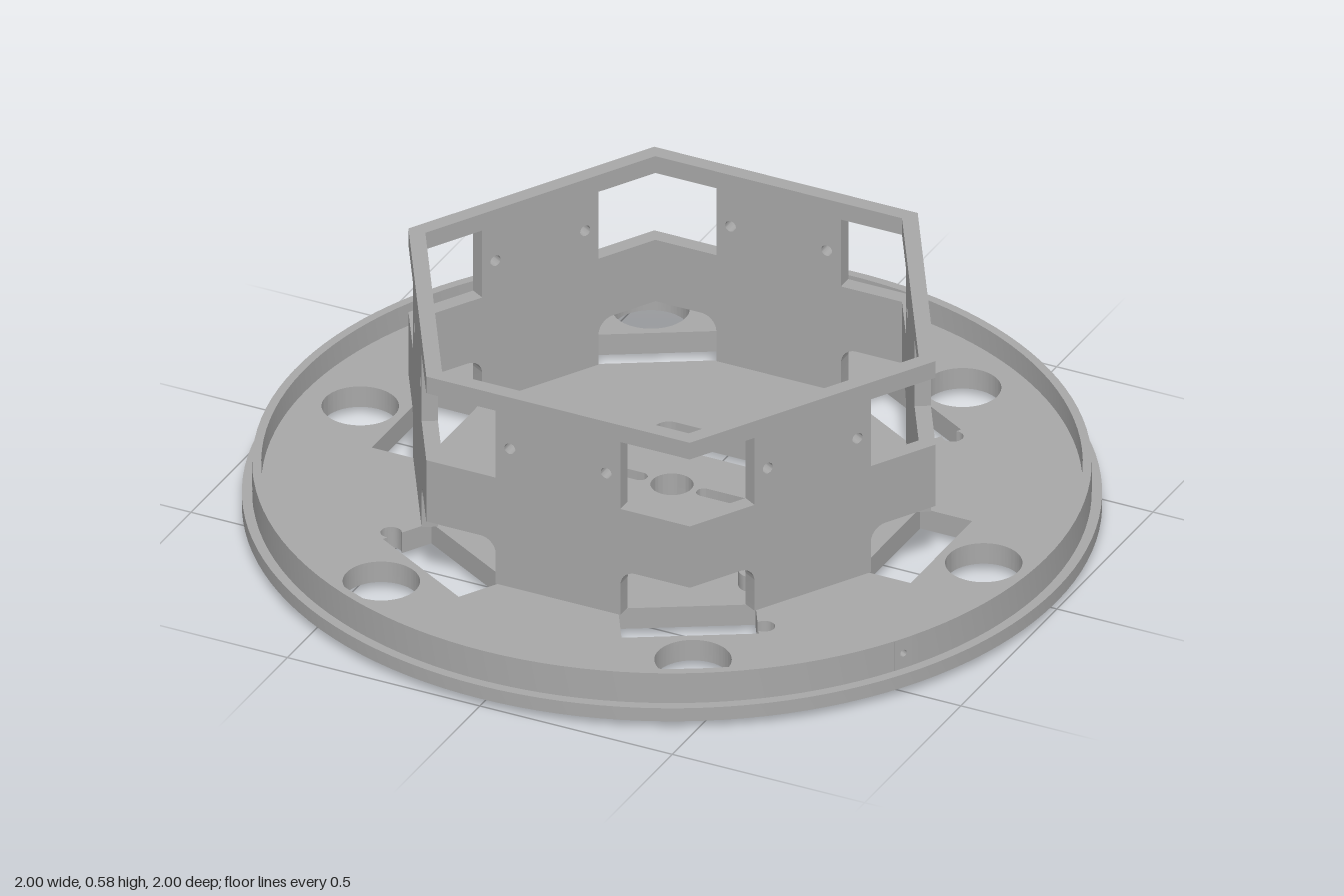
import * as THREE from 'three';
import { toCreasedNormals } from 'three/addons/utils/BufferGeometryUtils.js';

const FLOOR = 0.075, BOTTOM = 0.02, STEP = 0.055, RIM_TOP = 0.135, WALL_TOP = 0.585;
const RIM_IN = 0.955, RIM_OUT = 0.976;

export function createModel() {
  const model = new THREE.Group();
  model.name = 'roundBaseWithHexFrame';
  const grey = new THREE.MeshStandardMaterial({ color: 0xa8a8a8 });
  grey.name = 'plain grey';

  const add = (name, geometry, parent = model) => {
    const mesh = new THREE.Mesh(toCreasedNormals(geometry, 0.5), grey);
    mesh.name = name;
    parent.add(mesh);
    return mesh;
  };
  const circle = (x, y, r) => new THREE.Path().absarc(x, y, r, 0, Math.PI * 2, false);
  const stadium = (x, y, halfLength, halfWidth, r) => {
    const p = new THREE.Path();
    const a = halfLength - r, b = halfWidth - r;
    p.absarc(x + a, y + b, r, 0, Math.PI / 2, false);
    p.absarc(x - a, y + b, r, Math.PI / 2, Math.PI, false);
    p.absarc(x - a, y - b, r, Math.PI, Math.PI * 1.5, false);
    p.absarc(x + a, y - b, r, Math.PI * 1.5, Math.PI * 2, false);
    p.closePath();
    return p;
  };
  // Ring with a rectangular section
  const ring = (rOut, rIn, y0, y1, segments = 48, start = 0, length = Math.PI * 2) =>
    new THREE.LatheGeometry(
      [[rIn, y0], [rOut, y0], [rOut, y1], [rIn, y1], [rIn, y0]].map(([x, y]) => new THREE.Vector2(x, y)),
      segments, start, length);

  // Floor plate; shape y is -z
  const floor = new THREE.Shape().absarc(0, 0, RIM_IN, 0, Math.PI * 2, false);
  floor.holes.push(circle(0, 0, 0.05), stadium(0, 0.205, 0.155, 0.055, 0.035));
  for (const s of [-1, 1]) floor.holes.push(stadium(s * 0.143, 0, 0.078, 0.018, 0.0179));
  for (let i = 0; i < 6; i++) {
    const a = i * Math.PI / 3, c = Math.cos(a), s = Math.sin(a);
    floor.holes.push(circle(0.81 * c, 0.81 * s, 0.09));
    // Slot under each frame corner; four of them have a round relief at one end
    const side = i % 3 === 1 ? -1 : 1;
    const points = [[0.565, -0.16], [0.7, -0.16], [0.7, 0.16]];
    if (i % 3 !== 0) {
      for (let k = 0; k <= 16; k++) {
        const t = -0.6435 + (Math.PI + 1.287) * k / 16;
        points.push([0.667 + 0.025 * Math.cos(t), 0.175 + 0.025 * Math.sin(t)]);
      }
    }
    points.push([0.565, 0.16]);
    floor.holes.push(new THREE.Path(points.map(([u, v]) =>
      new THREE.Vector2(u * c - v * side * s, u * s + v * side * c))));
  }
  const floorGeo = new THREE.ExtrudeGeometry(floor, { depth: FLOOR - BOTTOM, bevelEnabled: false, curveSegments: 64 });
  floorGeo.rotateX(-Math.PI / 2).translate(0, BOTTOM, 0);
  add('floorPlate', floorGeo);

  // Flange and central boss underneath
  add('flange', ring(1, RIM_IN, BOTTOM, STEP, 128));
  add('bottomBoss', ring(0.23, 0.05, 0, BOTTOM, 64));

  // Rim in three arcs, joined by small plates with a pin hole
  const gap = 0.05;
  for (let i = 0; i < 3; i++) {
    const angle = Math.PI / 3 + i * Math.PI * 2 / 3;
    add('rimArc', ring(RIM_OUT, RIM_IN, STEP, RIM_TOP, 42, angle + gap / 2, Math.PI * 2 / 3 - gap));
    const h = RIM_OUT * Math.sin(gap / 2);
    const plate = new THREE.Shape([[-h, STEP], [h, STEP], [h, RIM_TOP], [-h, RIM_TOP]]
      .map(([x, y]) => new THREE.Vector2(x, y)));
    plate.holes.push(circle(0, 0.095, 0.009));
    const geo = new THREE.ExtrudeGeometry(plate, { depth: RIM_OUT - RIM_IN, bevelEnabled: false });
    geo.translate(0, 0, RIM_IN);
    add('rimPinPlate', geo).rotation.y = angle;
  }

  // Raised collar and four screw studs
  add('collar', ring(0.097, 0.073, FLOOR, 0.163)).position.set(0.367, 0, -0.092);
  for (const x of [-0.377, 0.377]) for (const z of [0.073, 0.33]) {
    add('screwStud', ring(0.036, 0.018, FLOOR, 0.115, 24)).position.set(x, 0, z);
  }

  // Hexagonal frame: six mitred panels with corner windows and leg notches
  const outer = 0.593, inner = 0.555, half = outer * Math.tan(Math.PI / 6);
  const w = 0.162, f = 0.04, low = 0.195, sill = 0.36, head = 0.54;
  const panel = new THREE.Shape();
  panel.moveTo(-w, FLOOR);
  panel.lineTo(w, FLOOR);
  panel.lineTo(w, low - f);
  panel.absarc(w + f, low - f, f, Math.PI, Math.PI / 2, true);
  for (const [x, y] of [[half, low], [half, sill], [w, sill], [w, head], [half, head], [half, WALL_TOP],
    [-half, WALL_TOP], [-half, head], [-w, head], [-w, sill], [-half, sill], [-half, low]]) panel.lineTo(x, y);
  panel.lineTo(-w - f, low);
  panel.absarc(-w - f, low - f, f, Math.PI / 2, 0, true);
  panel.closePath();
  for (const s of [-1, 1]) panel.holes.push(circle(s * 0.125, 0.447, 0.014));
  const panelGeo = new THREE.ExtrudeGeometry(panel, { depth: outer - inner, bevelEnabled: false, curveSegments: 12 });
  panelGeo.translate(0, 0, inner);
  const pos = panelGeo.attributes.position;
  for (let i = 0; i < pos.count; i++) {
    // Mitre the ends so neighbouring panels meet
    if (Math.abs(pos.getX(i)) > half - 0.01) pos.setX(i, Math.sign(pos.getX(i)) * pos.getZ(i) * Math.tan(Math.PI / 6));
  }
  panelGeo.computeVertexNormals();
  const frame = new THREE.Group();
  frame.name = 'hexFrame';
  model.add(frame);
  for (let i = 0; i < 6; i++) add('framePanel', panelGeo, frame).rotation.y = i * Math.PI / 3;

  return model;
}
